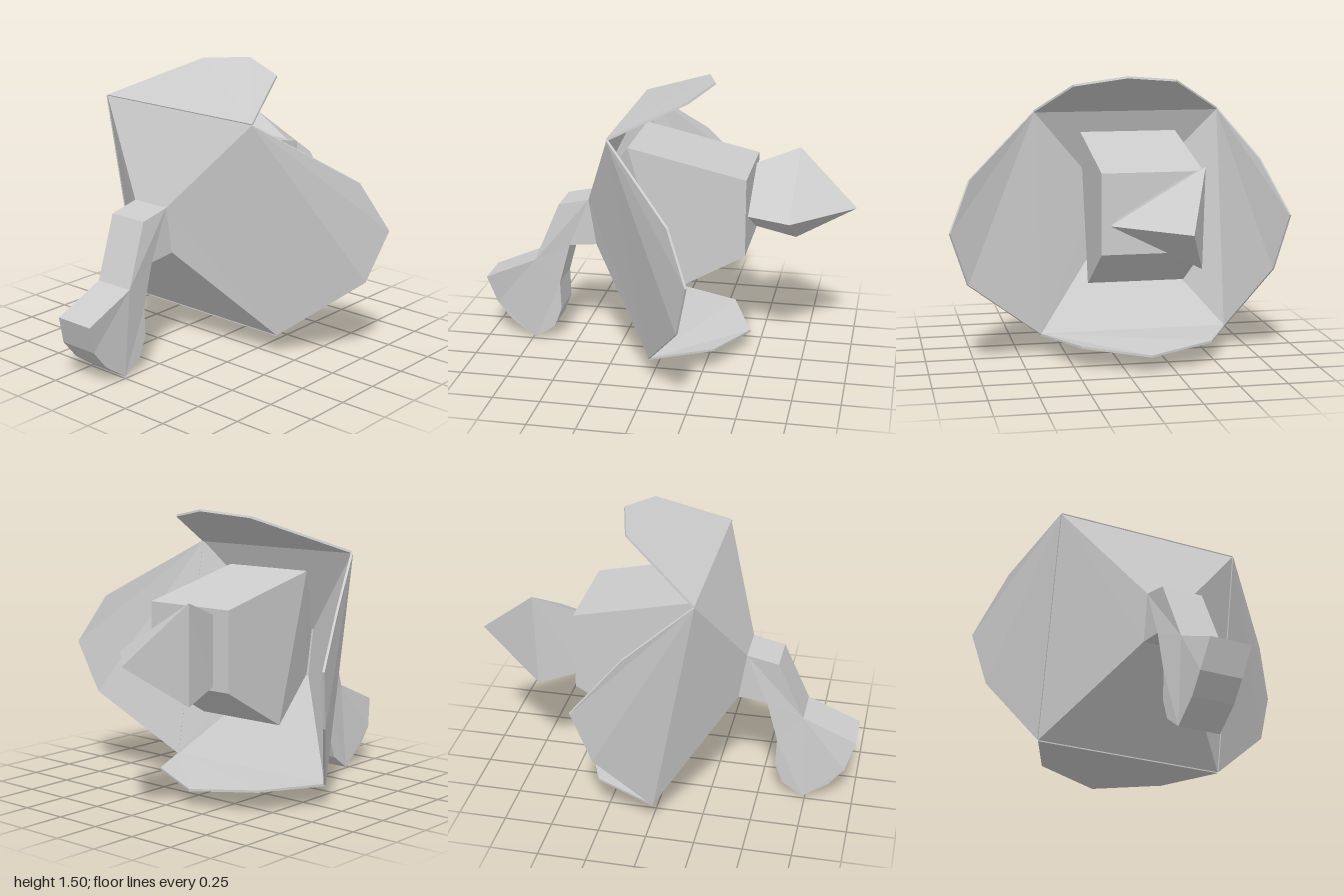
import * as THREE from 'three';

const grey = new THREE.MeshStandardMaterial({ color: 0xcccccc, flatShading: true });
const greyDouble = new THREE.MeshStandardMaterial({ color: 0xcccccc, flatShading: true, side: THREE.DoubleSide });

// Skin a series of equal-length rings of [x, y, z] points, with optional end caps
function loft(rings, caps = true) {
  const pos = [];
  const tri = (...pts) => pts.forEach((p) => pos.push(...p));
  const n = rings[0].length;
  for (let r = 0; r < rings.length - 1; r++) {
    const a = rings[r], b = rings[r + 1];
    for (let i = 0; i < n; i++) {
      const j = (i + 1) % n;
      tri(a[i], a[j], b[j]);
      tri(a[i], b[j], b[i]);
    }
  }
  if (caps) {
    const first = rings[0], last = rings[rings.length - 1];
    for (let i = 1; i < n - 1; i++) {
      tri(first[0], first[i + 1], first[i]);
      tri(last[0], last[i], last[i + 1]);
    }
  }
  const g = new THREE.BufferGeometry();
  g.setAttribute('position', new THREE.Float32BufferAttribute(pos, 3));
  g.computeVertexNormals();
  return g;
}

// Four-cornered section facing +x, slanted from its bottom edge to its top edge
function section([xBottom, yBottom], [xTop, yTop], zFront, zBack) {
  return [
    [xBottom, yBottom, zFront], [xBottom, yBottom, zBack],
    [xTop, yTop, zBack], [xTop, yTop, zFront],
  ];
}

// Thin slab: the outline given a little thickness along its own normal
function slab(outline, thickness = 0.012) {
  const normal = new THREE.Vector3();
  outline.forEach((p, i) => {
    const q = outline[(i + 1) % outline.length];
    normal.add(new THREE.Vector3(...p).cross(new THREE.Vector3(...q)));
  });
  normal.setLength(thickness / 2);
  const shifted = (s) => outline.map((p) => new THREE.Vector3(...p).addScaledVector(normal, s).toArray());
  return loft([shifted(-1), shifted(1)]);
}

export function createModel() {
  const group = new THREE.Group();
  const add = (name, geometry, material = grey) => {
    const mesh = new THREE.Mesh(geometry, material);
    mesh.name = name;
    group.add(mesh);
  };

  // Open square cup flaring from the stem to the rim
  const throat = section([-0.38, 0.58], [-0.42, 0.83], -0.015, -0.235);
  const rim = section([-0.01, 0.115], [-0.22, 1.29], 0.385, -0.63);
  add('cup', loft([throat, rim], false), greyDouble);

  // Four petals hinged on the rim edges
  const [bottomFront, bottomBack, topBack, topFront] = rim;
  add('topPetal', slab([topFront, [0.16, 1.455, 0.23], [0.26, 1.5, -0.03], [0.19, 1.475, -0.3], topBack]));
  add('bottomPetal', slab([bottomFront, [0.31, 0.12, 0.22], [0.455, 0.093, -0.12], [0.32, 0.12, -0.47], bottomBack]));
  add('frontPetal', slab([topFront, [0.16, 0.985, 0.77], [0.27, 0.73, 0.882], [0.21, 0.45, 0.79], bottomFront]));
  add('backPetal', slab([topBack, [0.1, 1.05, -0.78], [0.34, 0.78, -0.878], [0.25, 0.48, -0.82], bottomBack]));

  // Blocky core growing out of the throat
  add('core', loft([
    section([-0.37, 0.59], [-0.41, 0.82], -0.02, -0.23),
    section([0.05, 0.4], [-0.17, 1.18], 0.14, -0.38),
    section([0.45, 0.627], [0.45, 1.04], 0.14, -0.38),
  ]));

  // Three-sided pointed beak
  const tip = [1, 0.815, -0.195];
  add('beak', loft([
    [[0.45, 0.815, 0.05], [0.45, 0.65, -0.28], [0.45, 1.01, -0.28]],
    [[0.675, 0.815, 0.14], [0.67, 0.585, -0.32], [0.68, 1.095, -0.33]],
    [tip, tip, tip],
  ]));

  // Bent stem ending in a rounded foot
  const outline = [
    [-0.42, 0.83], [-0.585, 0.795], [-0.72, 0.475], [-1, 0.355], [-0.95, 0.2], [-0.87, 0.1],
    [-0.735, 0.002], [-0.625, 0.08], [-0.585, 0.185], [-0.59, 0.34], [-0.53, 0.565], [-0.38, 0.58],
  ];
  const stem = new THREE.ExtrudeGeometry(
    new THREE.Shape(outline.map(([x, y]) => new THREE.Vector2(x, y))),
    { depth: 0.22, bevelEnabled: false },
  );
  stem.translate(0, 0, -0.235);
  // The top of the foot leans slightly forward
  const p = stem.attributes.position;
  for (let i = 0; i < p.count; i++) {
    if (p.getX(i) < -0.7 && p.getY(i) > 0.3) p.setZ(i, p.getZ(i) + 0.028);
  }
  stem.computeVertexNormals();
  add('stemAndFoot', stem);

  return group;
}
